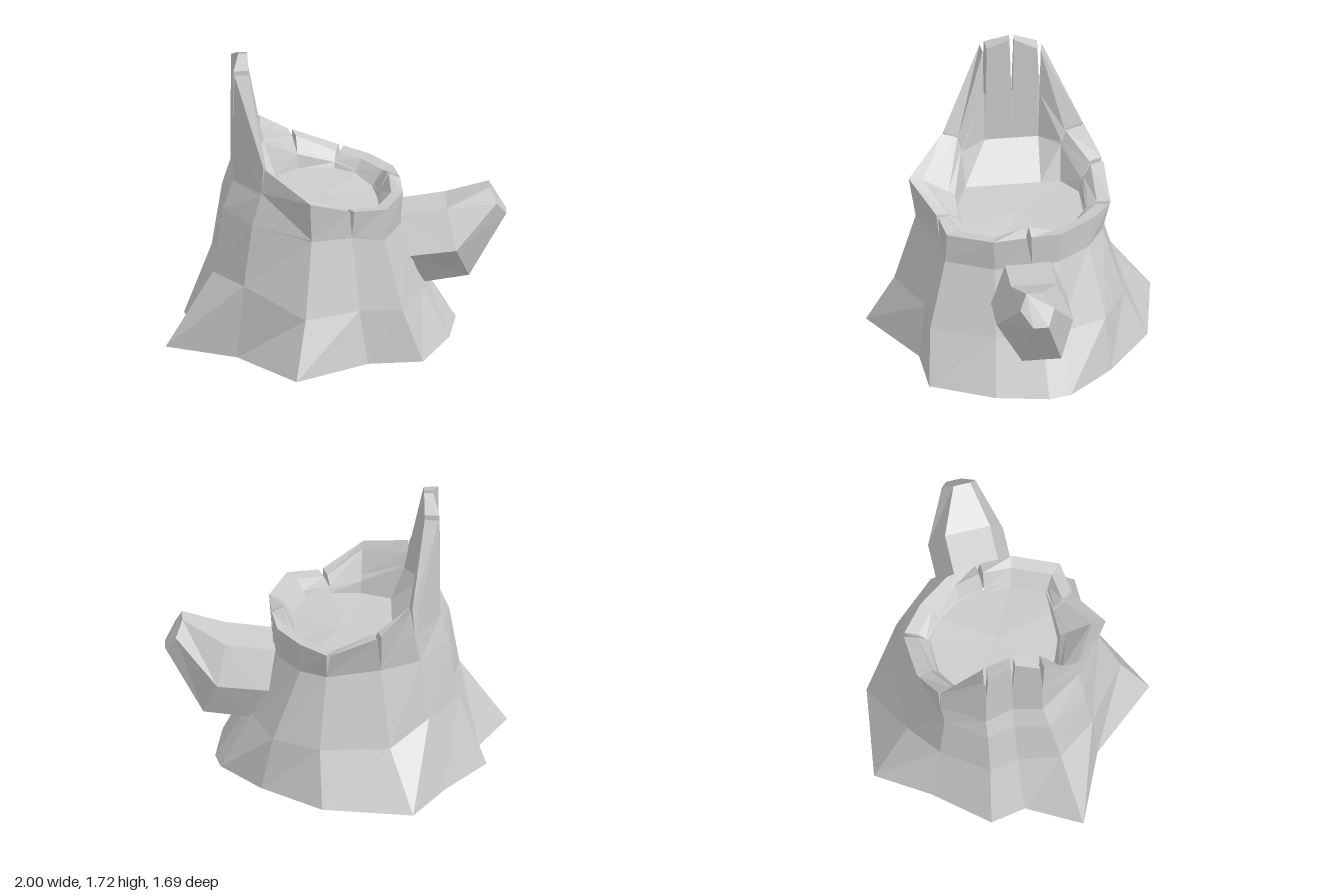
import * as THREE from 'three';

const material = new THREE.MeshStandardMaterial({ color: 0xcccccc, flatShading: true, side: THREE.DoubleSide });
const V = (x, y, z) => new THREE.Vector3(x, y, z);

// Faceted mesh from a list of polygons (fans of three or more corners)
function facets(name, faces) {
  const pos = [];
  const add = (p) => pos.push(p.x, p.y, p.z);
  for (const f of faces) {
    for (let k = 1; k < f.length - 1; k++) [f[0], f[k], f[k + 1]].forEach(add);
  }
  const geo = new THREE.BufferGeometry();
  geo.setAttribute('position', new THREE.Float32BufferAttribute(pos, 3));
  geo.computeVertexNormals();
  const mesh = new THREE.Mesh(geo, material);
  mesh.name = name;
  return mesh;
}

// Quads between two closed rings
function band(low, high) {
  return low.map((p, i) => {
    const j = (i + 1) % low.length;
    return [p, low[j], high[j], high[i]];
  });
}

// Columns round the trunk: x, z at the root, knee, waist and rim, then rim height
const columns = [
  [0.1, -0.77, 0.11, -0.63, 0.07, -0.51, 0.06, -0.56, 0.91],
  [-0.43, -0.85, -0.3, -0.62, -0.25, -0.5, -0.24, -0.55, 1.02],
  [-0.62, -0.55, -0.53, -0.48, -0.48, -0.44, -0.43, -0.46, 1.15],
  [-0.87, -0.25, -0.71, -0.22, -0.65, -0.22, -0.6, -0.22, 1.64],
  [-0.83, -0.04, -0.68, -0.05, -0.61, -0.05, -0.56, -0.05, 1.72],
  [-1, 0.27, -0.72, 0.2, -0.66, 0.15, -0.6, 0.12, 1.66],
  [-0.59, 0.45, -0.55, 0.43, -0.5, 0.39, -0.43, 0.37, 1.15],
  [-0.26, 0.84, -0.2, 0.68, -0.16, 0.56, -0.17, 0.6, 1.02],
  [0.17, 0.58, 0.12, 0.54, 0.08, 0.45, 0.08, 0.46, 0.91],
  [0.49, 0.56, 0.37, 0.54, 0.27, 0.44, 0.28, 0.43, 0.91],
  [0.66, 0.19, 0.5, 0.17, 0.375, 0.16, 0.39, 0.17, 0.91],
  [0.71, -0.12, 0.52, -0.1, 0.37, -0.06, 0.38, -0.04, 0.92],
  [0.68, -0.25, 0.5, -0.2, 0.34, -0.22, 0.35, -0.23, 0.91],
  [0.45, -0.51, 0.38, -0.49, 0.22, -0.41, 0.22, -0.42, 0.91],
].map(([bx, bz, kx, kz, wx, wz, rx, rz, top], i) => ({
  root: V(bx, 0, bz),
  knee: V(kx, kx < -0.4 ? 0.44 : 0.32, kz),
  waist: V(wx, 0.75 - 0.11 * wx, wz),
  rim: V(rx, top, rz),
  split: i < 7 || i === 8 || i === 11,
  tall: top > 1.5,
  shoulder: top === 1.15,
}));

export function createModel() {
  const group = new THREE.Group();
  group.name = 'treeStump';

  // Flaring trunk, open underneath; the last ring is the foot of the rim panels
  const foot = columns.map((c) => {
    if (c.tall) return V(c.rim.x, 1.33, c.rim.z);
    if (c.shoulder) return V(c.rim.x - 0.015, 1, c.rim.z);
    return c.waist.clone().lerp(c.rim, 0.03);
  });
  const collar = columns.map((c, i) => (c.tall ? V(c.rim.x, 0.98, c.rim.z) : c.waist.clone().lerp(foot[i], 0.9)));
  const rings = [...['root', 'knee', 'waist'].map((k) => columns.map((c) => c[k])), collar, foot];
  const trunk = [];
  for (let k = 0; k < rings.length - 1; k++) trunk.push(...band(rings[k], rings[k + 1]));
  group.add(facets('trunk', trunk));

  // Sunken floor of the hollow, rising at the tall side
  const edge = columns.map(({ rim, tall, shoulder }) => {
    if (tall) return V(-0.51, 1.03, rim.z * 0.92);
    if (shoulder) return V(-0.4, 1.03, rim.z * 0.7);
    return V(-0.1 + (rim.x + 0.1) * 0.72, 0.87 - 0.18 * rim.x, THREE.MathUtils.clamp(rim.z * 0.77, -0.42, 0.33));
  });
  const hollow = edge.map((p) => V(Math.max(p.x, -0.33), Math.min(p.y, 0.83), p.z).multiply(V(0.98, 1, 0.96)));
  const middle = V(-0.05, 0.82, -0.03);
  const floor = band(edge, hollow);
  hollow.forEach((p, i) => floor.push([p, hollow[(i + 1) % hollow.length], middle]));
  group.add(facets('hollowFloor', floor));

  // Broken rim: one thick panel between neighbouring columns, V-shaped splits between panels
  const rim = new THREE.Group();
  rim.name = 'rim';
  const n = columns.length;
  const section = (i, other) => {
    const c = columns[i];
    const top = c.rim.clone();
    if (c.split) {
      const toward = columns[other].rim.clone().sub(c.rim).multiply(V(1, 0.6, 1));
      top.addScaledVector(toward, (c.shoulder ? 0.006 : 0.014) / Math.hypot(toward.x, toward.z));
    }
    let inTop = V(-0.1 + (top.x + 0.1) * 0.86, top.y + (i === 11 ? 0.03 : -0.01), top.z * 0.86);
    if (c.tall) inTop = V(-0.51, top.y, top.z * 0.94);
    if (c.shoulder) inTop = V(-0.42, top.y - 0.03, top.z * 0.76);
    const inLow = inTop.clone().lerp(edge[i], c.tall ? 0.5 : 0.8);
    return [foot[i], top, inTop, inLow, edge[i]];
  };
  for (let i = 0; i < n; i++) {
    const j = (i + 1) % n;
    const a = section(i, j);
    const b = section(j, i);
    const faces = [];
    for (let k = 0; k < 4; k++) faces.push([a[k], b[k], b[k + 1], a[k + 1]]);
    if (columns[i].split) faces.push(a.slice(0, 4));
    if (columns[j].split) faces.push(b.slice(0, 4).reverse());
    rim.add(facets('rimPanel', faces));
  }
  group.add(rim);

  // Short broken branch: six-sided sections from top, middle and bottom x, y and z extents
  const hexagon = ([tx, ty, tf, tb], [mx, my, mf, mb], [lx, ly, lf, lb]) => [
    V(tx, ty, tf), V(mx, my, mf), V(lx, ly, lf), V(lx, ly, lb), V(mx, my, mb), V(tx, ty, tb),
  ];
  const branch = [
    hexagon([0.36, 0.73, 0.1, -0.17], [0.4, 0.51, 0.19, -0.26], [0.5, 0.29, 0.05, -0.18]),
    hexagon([0.65, 0.77, 0.1, -0.17], [0.7, 0.54, 0.19, -0.26], [0.78, 0.33, 0.05, -0.18]),
    hexagon([0.9, 0.88, 0.04, -0.06], [0.94, 0.79, 0.08, -0.12], [1, 0.7, 0.01, -0.08]),
  ];
  group.add(facets('branch', [...band(branch[0], branch[1]), ...band(branch[1], branch[2]), branch[2]]));

  return group;
}
